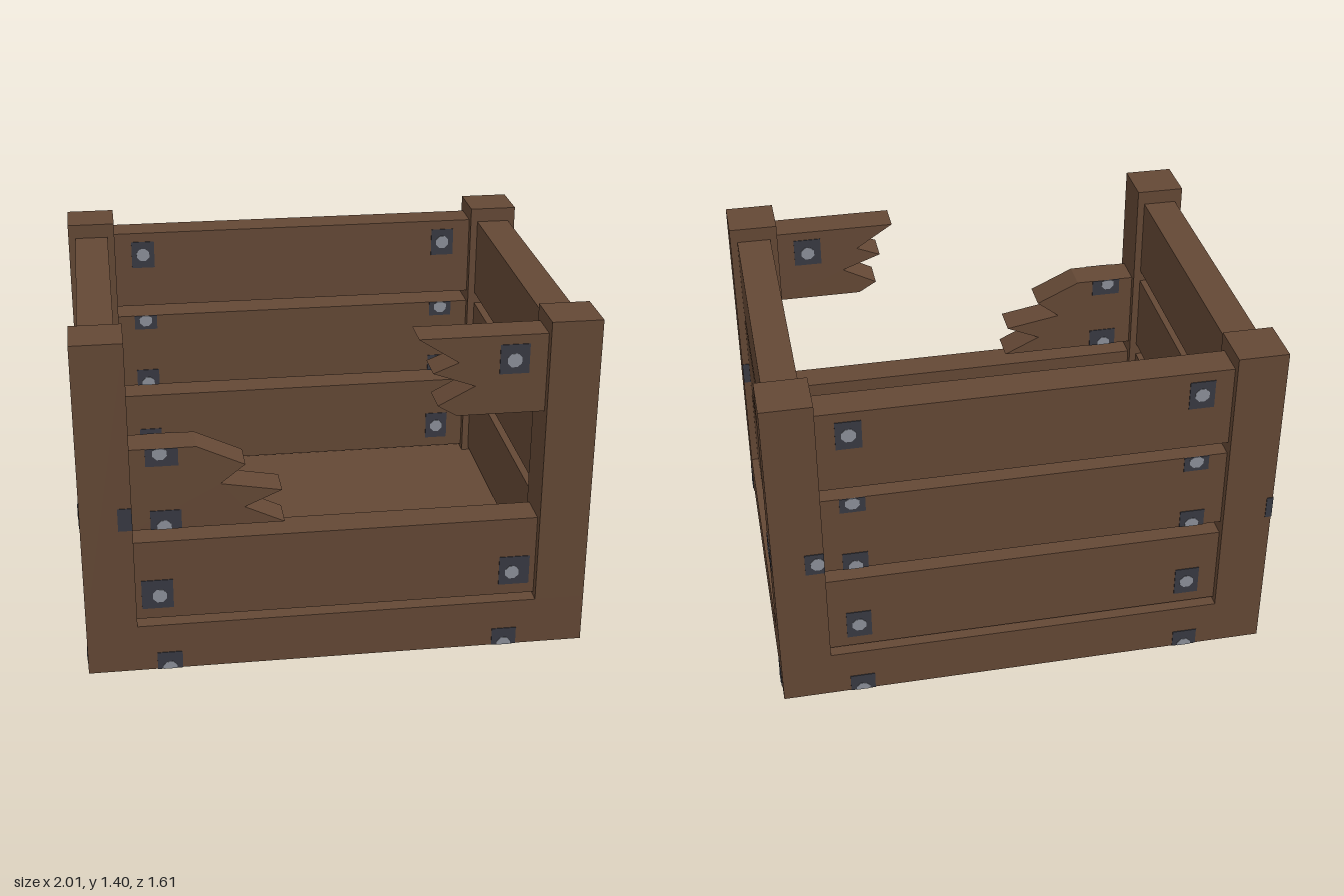
import * as THREE from 'three';

export function createModel() {
  const mat = (name, color) => {
    const m = new THREE.MeshStandardMaterial({ color });
    m.name = name;
    return m;
  };
  const wood = mat('wood', 0x644835);
  const iron = mat('dark iron', 0x383942);
  const steel = mat('steel', 0x8c9099);

  const crate = new THREE.Group();
  crate.name = 'brokenCrate';

  const box = (name, x0, x1, y0, y1, z0, z1) => {
    const m = new THREE.Mesh(new THREE.BoxGeometry(x1 - x0, y1 - y0, z1 - z0), wood);
    m.position.set((x0 + x1) / 2, (y0 + y1) / 2, (z0 + z1) / 2);
    m.name = name;
    crate.add(m);
  };
  // Flat outline given thickness towards +z
  const slab = (name, points, depth, material) => {
    const shape = new THREE.Shape(points.map(([x, y]) => new THREE.Vector2(x, y)));
    const m = new THREE.Mesh(new THREE.ExtrudeGeometry(shape, { depth, bevelEnabled: false }), material);
    m.name = name;
    return m;
  };

  // Base and corner posts
  box('base', -1, 1, 0, 0.2, -0.8, 0.8);
  for (const sx of [-1, 1]) {
    for (const sz of [-1, 1]) {
      box('cornerPost', sx * 0.9 - 0.1, sx * 0.9 + 0.1, 0.2, 1.4, sz * 0.7 - 0.1, sz * 0.7 + 0.1);
    }
  }

  // Whole planks: three on the back and on each side, one at the front
  const rows = [[0.215, 0.555], [0.61, 0.95], [1.0, 1.34]];
  for (const [y0, y1] of rows) {
    box('backPlank', -0.8, 0.8, y0, y1, -0.77, -0.635);
    box('leftPlank', 0.83, 0.97, y0, y1, -0.6, 0.6);
    box('rightPlank', -0.97, -0.83, y0, y1, -0.6, 0.6);
  }
  box('frontPlank', -0.8, 0.8, 0.215, 0.555, 0.63, 0.765);

  // Snapped front planks
  const stubs = {
    brokenMiddlePlank: [[-0.8, 0.61], [-0.21, 0.61], [-0.365, 0.684], [-0.22, 0.748],
      [-0.457, 0.79], [-0.36, 0.866], [-0.545, 0.953], [-0.8, 0.953]],
    brokenTopPlank: [[0.8, 1.02], [0.8, 1.342], [0.3, 1.342], [0.457, 1.24],
      [0.358, 1.2], [0.523, 1.14], [0.38, 1.065], [0.455, 1.02]],
  };
  for (const [name, points] of Object.entries(stubs)) {
    const stub = slab(name, points, 0.135, wood);
    stub.position.z = 0.63;
    crate.add(stub);
  }

  // Nail: iron plate u0..u1, v0..v1 on a face, with a round head trimmed to the plate
  const turns = { front: 0, back: Math.PI, left: Math.PI / 2, right: -Math.PI / 2 };
  const nail = (side, dist, u0, u1, v0, v1, hu, hv) => {
    const g = new THREE.Group();
    g.name = 'nail';
    g.add(slab('nailPlate', [[u0, v0], [u1, v0], [u1, v1], [u0, v1]], 0.003, iron));
    if (hu !== undefined) {
      const head = [];
      for (let i = 0; i < 8; i++) {
        const a = (i + 0.5) * Math.PI / 4;
        head.push([
          THREE.MathUtils.clamp(hu + 0.03 * Math.cos(a), u0, u1),
          THREE.MathUtils.clamp(hv + 0.03 * Math.sin(a), v0, v1),
        ]);
      }
      g.add(slab('nailHead', head, 0.005, steel));
    }
    const pivot = new THREE.Group();
    pivot.name = side + 'Nail';
    g.position.z = dist;
    pivot.rotation.y = turns[side];
    pivot.add(g);
    crate.add(pivot);
  };

  // Nails on the back planks, outside and inside
  for (const s of [-1, 1]) {
    const u = s * 0.677;
    for (const [side, dist] of [['back', 0.77], ['front', -0.635]]) {
      nail(side, dist, u - 0.05, u + 0.05, 1.18, 1.3, u, 1.24);
      nail(side, dist, u - 0.05, u + 0.05, 0.885, 0.95, u, 0.928);
      nail(side, dist, u - 0.05, u + 0.05, 0.61, 0.685, u, 0.62);
      nail(side, dist, u - 0.05, u + 0.05, 0.26, 0.385, u, 0.32);
    }
    // Front plank and base
    nail('front', 0.765, s * 0.715 - 0.062, s * 0.715 + 0.062, 0.26, 0.385, s * 0.706, 0.315);
    nail('back', -0.63, s * 0.715 - 0.062, s * 0.715 + 0.062, 0.26, 0.385, s * 0.706, 0.315);
    nail('front', 0.8, u - 0.05, u + 0.05, 0, 0.075, u, 0.004);
    nail('back', 0.8, u - 0.05, u + 0.05, 0, 0.075, u, 0.004);
    nail('left', 1, u - 0.05, u + 0.05, 0, 0.075, u, 0.004);
  }
  nail('right', 1, 0.627, 0.727, 0, 0.075, 0.677, 0.004);

  // Nails on the snapped planks, both faces
  for (const [side, dist, s] of [['front', 0.765, 1], ['back', -0.63, -1]]) {
    const both = (x0, x1, v0, v1, hx, hv) =>
      nail(side, dist, Math.min(s * x0, s * x1), Math.max(s * x0, s * x1), v0, v1, s * hx, hv);
    both(0.615, 0.73, 1.185, 1.305, 0.672, 1.24);
    both(-0.74, -0.615, 0.88, 0.953, -0.685, 0.935);
    both(-0.73, -0.61, 0.61, 0.69, -0.677, 0.62);
  }

  // Nails on the posts
  nail('front', 0.8, -0.855, -0.8, 0.63, 0.725);
  nail('left', 1, 0.625, 0.75, 0.63, 0.725, 0.675, 0.677);
  nail('right', 1, 0.66, 0.76, 0.63, 0.725, 0.71, 0.677);
  nail('back', 0.8, -0.875, -0.8, 0.63, 0.725, -0.825, 0.677);
  nail('back', 0.8, 0.975, 1, 0.63, 0.725);
  nail('right', 1, -0.8, -0.785, 0.63, 0.725);
  nail('back', -0.6, -0.86, -0.8, 0.63, 0.725);
  nail('back', -0.6, -1, -0.96, 0.63, 0.725);

  return crate;
}
